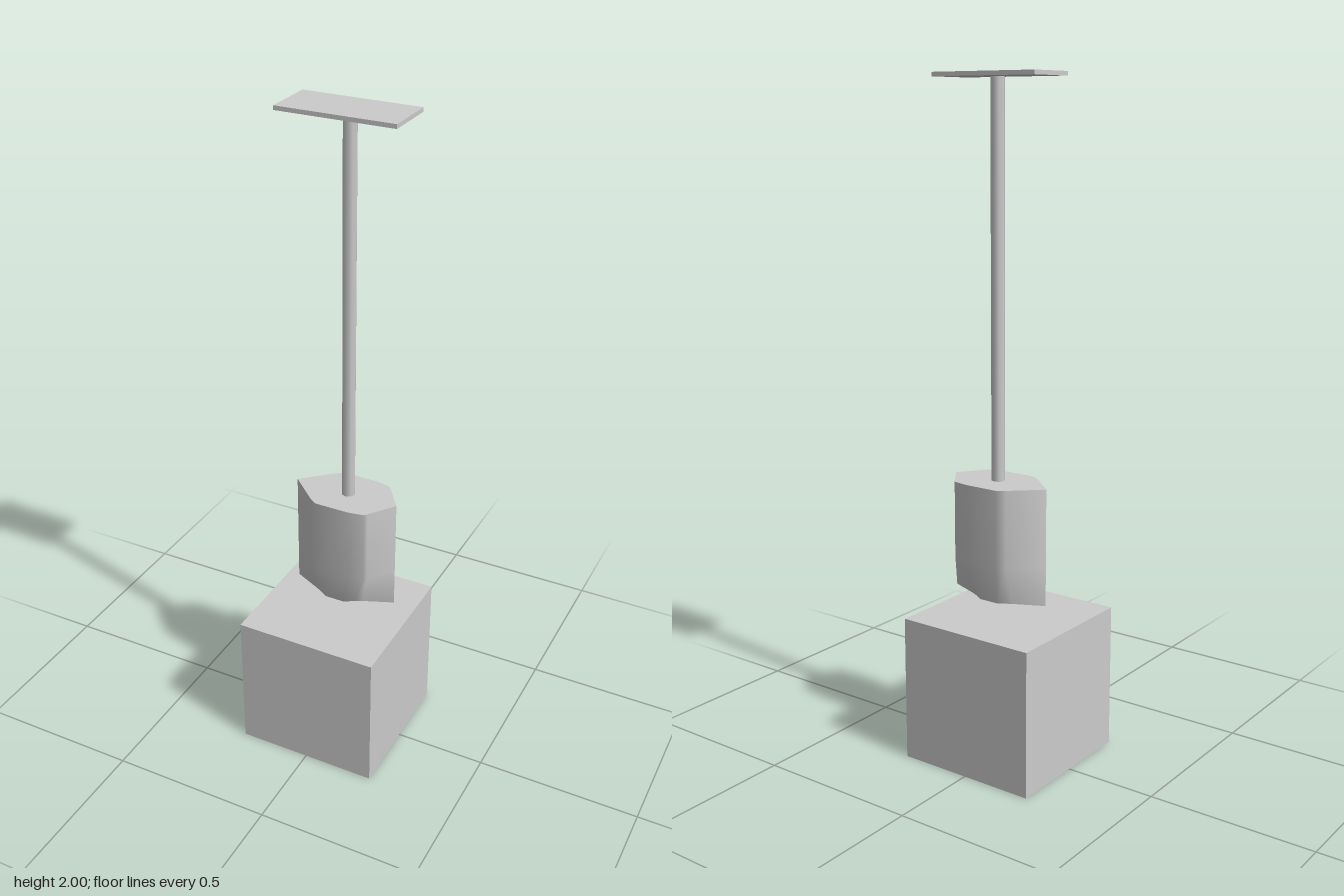
import * as THREE from 'three';

const grey = new THREE.MeshStandardMaterial({ color: 0xcccccc });
const greyOpen = new THREE.MeshStandardMaterial({ color: 0xcccccc, side: THREE.DoubleSide });

function addPart(group, name, geometry, material, x, y, z) {
  const mesh = new THREE.Mesh(geometry, material);
  mesh.name = name;
  mesh.position.set(x, y, z);
  group.add(mesh);
}

// Closed outline from its front half [x, z], mirrored to the back
function outline(half) {
  const back = half.slice(1, -1).reverse().map(([x, z]) => [x, -z]);
  return [...half, ...back];
}

// Join cross-sections listed from bottom to top, with a cap at each end
function loft(sections) {
  const positions = [];
  const index = [];
  const n = sections[0].ring.length;
  const addRing = ({ y, ring }) => {
    const start = positions.length / 3;
    ring.forEach(([x, z]) => positions.push(x, y, z));
    return start;
  };
  const starts = sections.map(addRing);
  for (let s = 0; s < sections.length - 1; s++) {
    for (let i = 0; i < n; i++) {
      const j = (i + 1) % n;
      const a = starts[s] + i, b = starts[s] + j;
      const c = starts[s + 1] + j, d = starts[s + 1] + i;
      index.push(a, b, c, a, c, d);
    }
  }
  for (const top of [false, true]) {
    const section = sections[top ? sections.length - 1 : 0];
    const start = addRing(section);
    const centre = positions.length / 3;
    positions.push(0, section.y, 0);
    for (let i = 0; i < n; i++) {
      const a = start + i, b = start + (i + 1) % n;
      index.push(centre, top ? a : b, top ? b : a);
    }
  }
  const geometry = new THREE.BufferGeometry();
  geometry.setAttribute('position', new THREE.Float32BufferAttribute(positions, 3));
  geometry.setIndex(index);
  geometry.computeVertexNormals();
  return geometry;
}

export function createModel() {
  const group = new THREE.Group();
  const cx = 0.0175, cz = -0.02;

  // Hollow block, open underneath
  const block = new THREE.BoxGeometry(0.44, 0.44, 0.44);
  const faces = Array.from(block.index.array);
  faces.splice(18, 6);
  block.setIndex(faces);
  block.clearGroups();
  addPart(group, 'baseBlock', block, greyOpen, 0, 0.22, 0);

  // Blade: bulging in the middle, thin at both side edges, tapering below
  const wide = outline([[-0.163, 0], [-0.078, 0.078], [-0.053, 0.095], [0.053, 0.095],
    [0.1, 0.087], [0.108, 0.077], [0.163, 0]]);
  const narrow = outline([[-0.163, 0], [-0.075, 0.042], [-0.035, 0.065], [0.025, 0.065],
    [0.055, 0.046], [0.075, 0.036], [0.163, 0]]);
  addPart(group, 'blade', loft([
    { y: 0.5, ring: narrow },
    { y: 0.62, ring: wide },
    { y: 0.85, ring: wide },
  ]), grey, cx, 0, cz);

  // Long shaft
  addPart(group, 'shaft', new THREE.CylinderGeometry(0.02, 0.02, 1.15, 8), grey, 0.026, 1.415, -0.018);

  // Flat plate on top
  addPart(group, 'topPlate', new THREE.BoxGeometry(0.344, 0.012, 0.157), grey, cx, 1.994, -0.022);

  return group;
}
